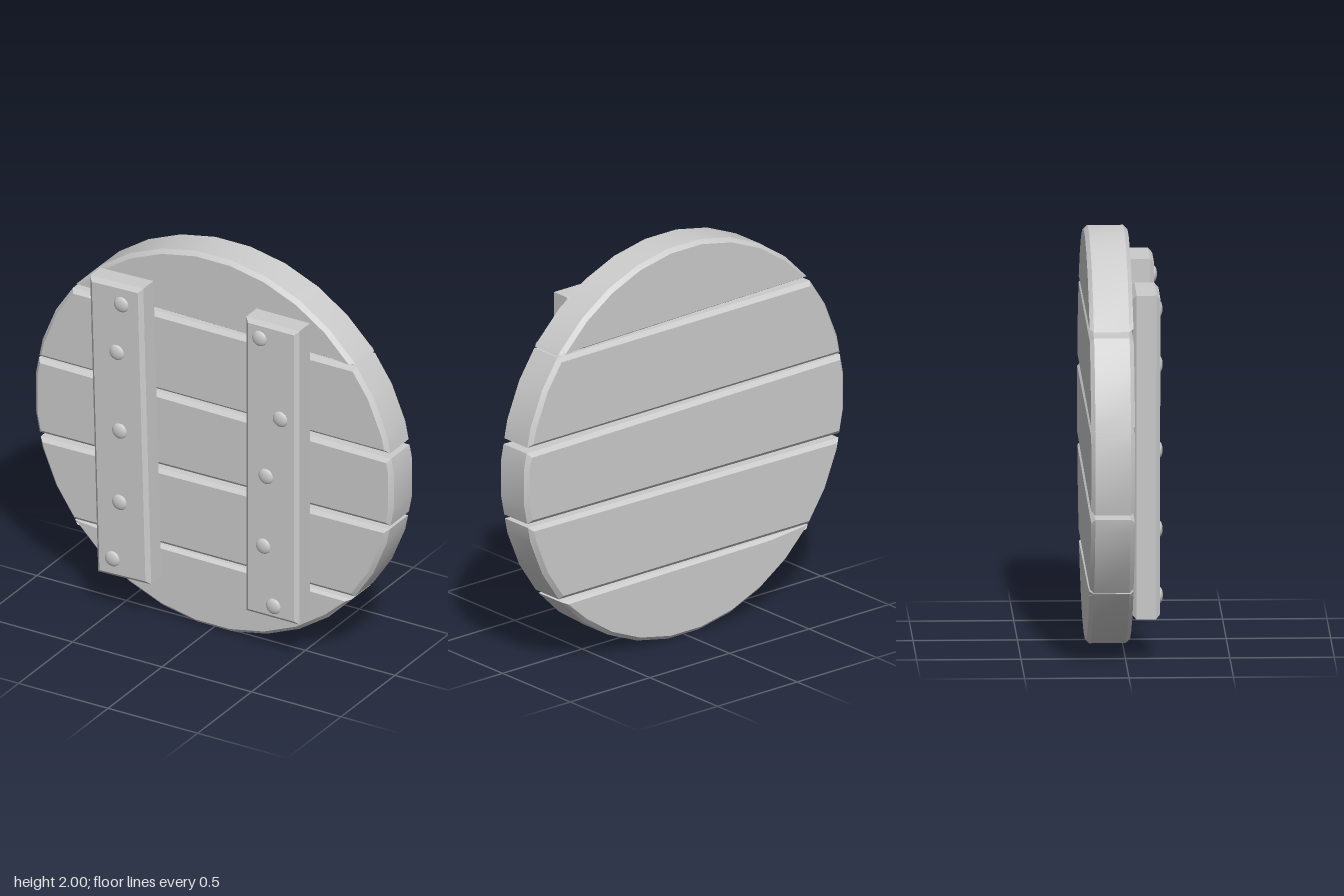
import * as THREE from 'three';
import { toCreasedNormals } from 'three/addons/utils/BufferGeometryUtils.js';

const material = new THREE.MeshStandardMaterial({ color: 0xcccccc });
const BEVEL = 0.02;

// Bevelled slab from an outline, spanning z0..z1; outline stays the outer size
function slab(points, z0, z1, name) {
  const geo = new THREE.ExtrudeGeometry(new THREE.Shape(points), {
    depth: z1 - z0 - 2 * BEVEL, bevelEnabled: true, bevelSegments: 1,
    bevelSize: BEVEL, bevelThickness: BEVEL, bevelOffset: -BEVEL,
  });
  geo.translate(0, 0, z0 + BEVEL);
  const mesh = new THREE.Mesh(toCreasedNormals(geo, 0.5), material);
  mesh.name = name;
  return mesh;
}

// Keep the part of a polygon above (sign 1) or below (sign -1) the line
// running from height yl at x = -1 to height yr at x = 1
function clip(points, yl, yr, sign) {
  const dist = (p) => sign * (p.y - (yl + (yr - yl) * (p.x + 1) / 2));
  const out = [];
  points.forEach((a, i) => {
    const b = points[(i + 1) % points.length];
    const da = dist(a), db = dist(b);
    if (da >= 0) out.push(a);
    if (da * db < 0) out.push(a.clone().lerp(b, da / (da - db)));
  });
  return out;
}

export function createModel() {
  const group = new THREE.Group();

  // Round outline, 32 sides with a flat at the top
  const R = 1 / Math.cos(Math.PI / 32);
  const disc = Array.from({ length: 32 }, (_, i) => {
    const a = (i + 0.5) * Math.PI / 16;
    return new THREE.Vector2(R * Math.cos(a), 1 + R * Math.sin(a));
  });

  // Planks: [bottom left, bottom right, top left, top right]
  const planks = [
    [-1, -1, 0.37, 0.35],
    [0.372, 0.372, 0.764, 0.787],
    [0.787, 0.808, 1.19, 1.17],
    [1.198, 1.198, 1.615, 1.613],
    [1.644, 1.618, 3, 3],
  ];
  planks.forEach(([bl, br, tl, tr], i) => {
    const outline = clip(clip(disc, bl, br, 1), tl, tr, -1);
    group.add(slab(outline, -0.18, 0.03, `plank${i + 1}`));
  });

  // Upright battens across the front, one slightly tilted
  const battens = [
    { name: 'rightBatten', x: -0.445, y: 1, w: 0.297, h: 1.585, tilt: 0.028,
      studs: [[-0.43, 1.69], [-0.455, 1.425], [-0.44, 1.005], [-0.44, 0.62], [-0.48, 0.305]] },
    { name: 'leftBatten', x: 0.406, y: 1.01, w: 0.298, h: 1.585, tilt: 0,
      studs: [[0.342, 1.715], [0.458, 1.31], [0.378, 0.98], [0.363, 0.6], [0.42, 0.29]] },
  ];
  // Shallow domed stud head
  const studGeo = new THREE.SphereGeometry(0.041, 16, 6, 0, Math.PI * 2, 0, Math.PI / 2);
  studGeo.rotateX(Math.PI / 2).scale(1, 1, 0.42);

  for (const b of battens) {
    const w = b.w / 2, h = b.h / 2;
    const corners = [[-w, -h], [w, -h], [w, h], [-w, h]].map(([x, y]) => new THREE.Vector2(x, y));
    const batten = slab(corners, 0.03, 0.164, b.name);
    batten.position.set(b.x, b.y, 0);
    batten.rotation.z = b.tilt;
    group.add(batten);
    b.studs.forEach(([x, y]) => {
      const stud = new THREE.Mesh(studGeo, material);
      stud.name = 'stud';
      stud.position.set(x, y, 0.163);
      group.add(stud);
    });
  }
  return group;
}
